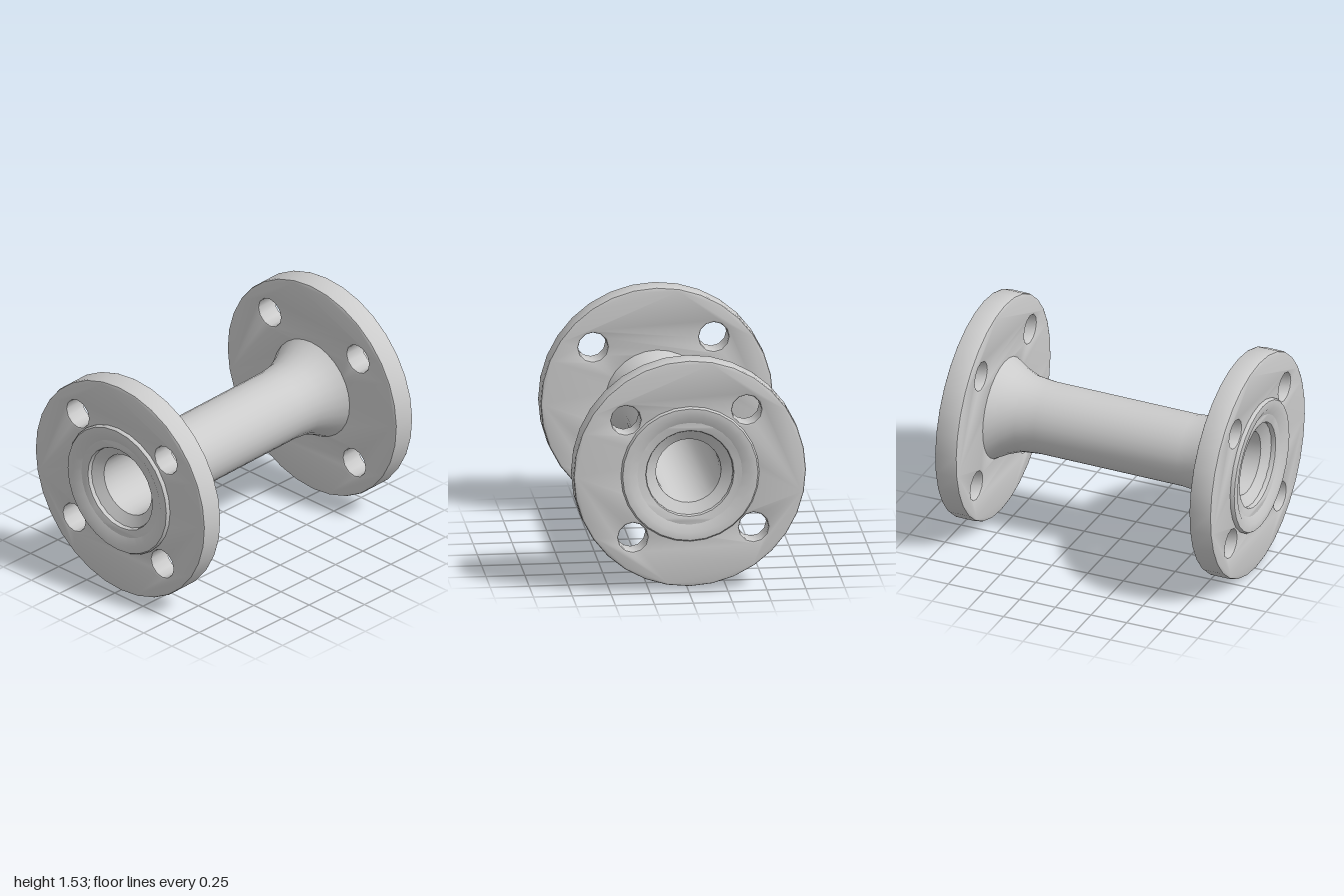
import * as THREE from 'three';
import { toCreasedNormals } from 'three/addons/utils/BufferGeometryUtils.js';

const grey = new THREE.MeshStandardMaterial({ color: 0xcccccc });

// Points of a circle, used for outlines and holes
function circle(radius, sides, cx = 0, cy = 0) {
  return Array.from({ length: sides }, (_, i) => {
    const a = (i / sides) * Math.PI * 2;
    return new THREE.Vector2(cx + radius * Math.cos(a), cy + radius * Math.sin(a));
  });
}

function part(name, geometry) {
  const mesh = new THREE.Mesh(toCreasedNormals(geometry, 0.75), grey);
  mesh.name = name;
  return mesh;
}

// Disc with four bolt holes, its axis along x
function flange(name, x) {
  const shape = new THREE.Shape(circle(0.748, 32));
  shape.holes.push(new THREE.Path(circle(0.28, 24)));
  for (let i = 0; i < 4; i++) {
    const a = THREE.MathUtils.degToRad(48.2 + 90 * i);
    shape.holes.push(new THREE.Path(circle(0.095, 12, 0.55 * Math.cos(a), 0.55 * Math.sin(a))));
  }
  const thickness = 0.155, bevel = 0.015;
  const geometry = new THREE.ExtrudeGeometry(shape, {
    depth: thickness - 2 * bevel,
    bevelThickness: bevel, bevelSize: bevel, bevelOffset: -bevel, bevelSegments: 2,
  });
  geometry.translate(0, 0, bevel - thickness / 2);
  geometry.rotateY(Math.PI / 2);
  geometry.translate(x, 0, 0);
  return part(name, geometry);
}

// Pipe with flared necks, raised end faces and a bore with conical mouths
function pipe() {
  // One half as [radius, distance along the axis], from the middle out
  const outer = [[0.237, 0.5], [0.25, 0.63], [0.285, 0.72], [0.335, 0.81], [0.44, 0.92], [0.445, 0.975], [0.435, 0.99]];
  const inner = [[0.385, 0.992], [0.3, 0.945], [0.21, 0.89], [0.205, 0.8]];
  const half = [...outer, ...inner];
  const mirrored = half.map(([r, y]) => [r, -y]).reverse();
  const profile = [...mirrored, ...half, mirrored[0]].map(([r, y]) => new THREE.Vector2(r, y));
  const geometry = new THREE.LatheGeometry(profile, 28);
  geometry.rotateZ(-Math.PI / 2);
  return part('pipe', geometry);
}

export function createModel() {
  const model = new THREE.Group();
  model.name = 'flangedPipe';
  model.add(pipe(), flange('leftFlange', 0.888), flange('rightFlange', -0.888));
  // The spool lies very slightly askew
  model.rotation.set(0, 0.009, 0.016);
  model.position.y = 0.763;
  return model;
}
